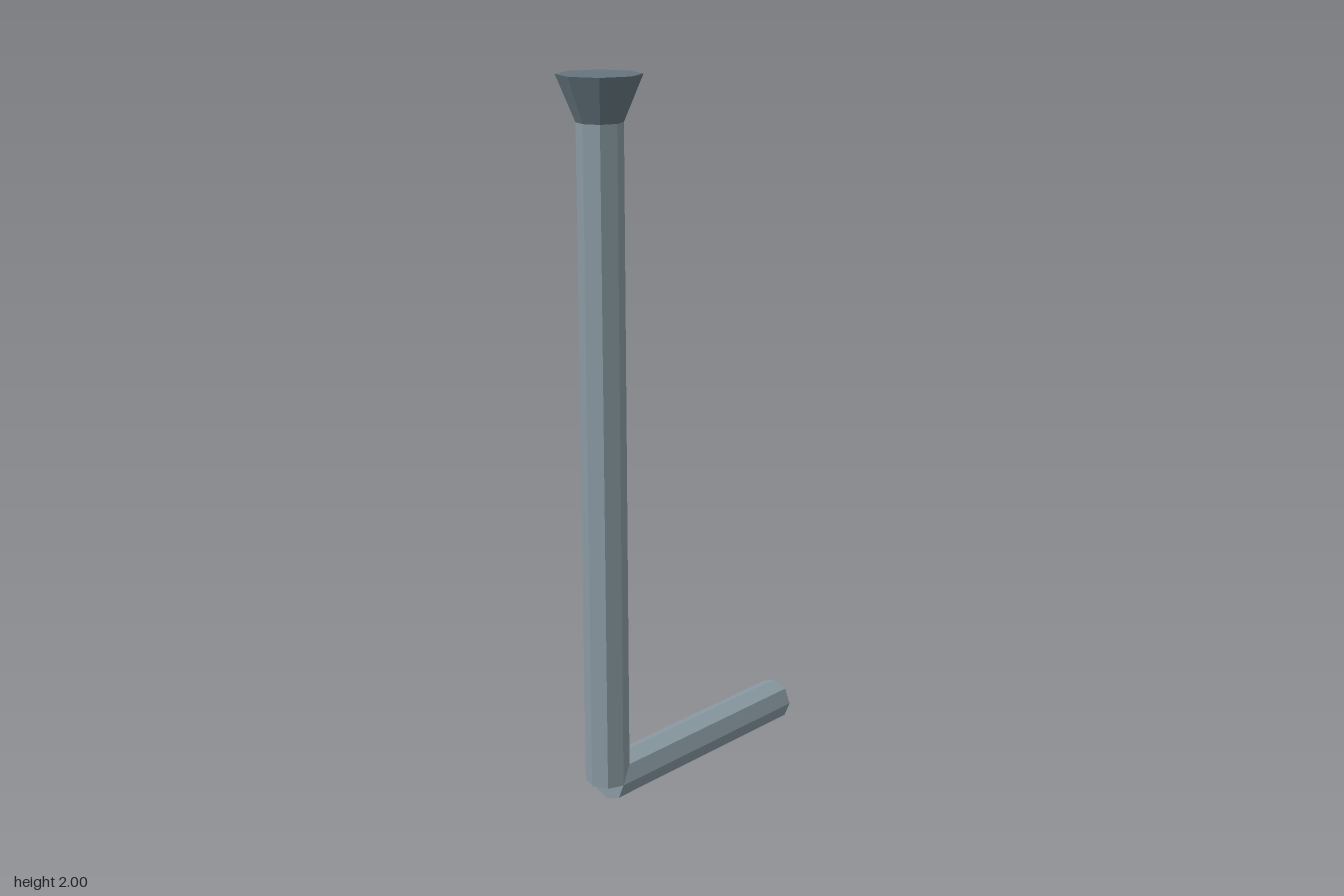
import * as THREE from 'three';

export function createModel() {
  const model = new THREE.Group();
  const steel = new THREE.MeshStandardMaterial({ color: 0x8a9aa3 });
  const darkSteel = new THREE.MeshStandardMaterial({ color: 0x65757e });
  steel.flatShading = darkSteel.flatShading = true;

  const SIDES = 8, R = 0.061, POLE_X = -0.31, END_X = 0.42, NECK_Y = 1.88, TOP_Y = 2;

  function rod(name, rTop, rBottom, length, material, x, y) {
    const mesh = new THREE.Mesh(new THREE.CylinderGeometry(rTop, rBottom, length, SIDES), material);
    mesh.name = name;
    mesh.position.set(x, y, 0);
    model.add(mesh);
    return mesh;
  }

  // Upright shaft, starting on the axis of the foot bar
  rod('shaft', R, R, NECK_Y - R, steel, POLE_X, (NECK_Y + R) / 2);

  // Horizontal bar at the bottom
  const bar = rod('footBar', R, R, END_X - POLE_X, steel, (END_X + POLE_X) / 2, R);
  bar.rotation.z = -Math.PI / 2;

  // Flared head on top of the shaft
  rod('flaredHead', 0.111, R, TOP_Y - NECK_Y, darkSteel, POLE_X, (TOP_Y + NECK_Y) / 2);

  return model;
}
